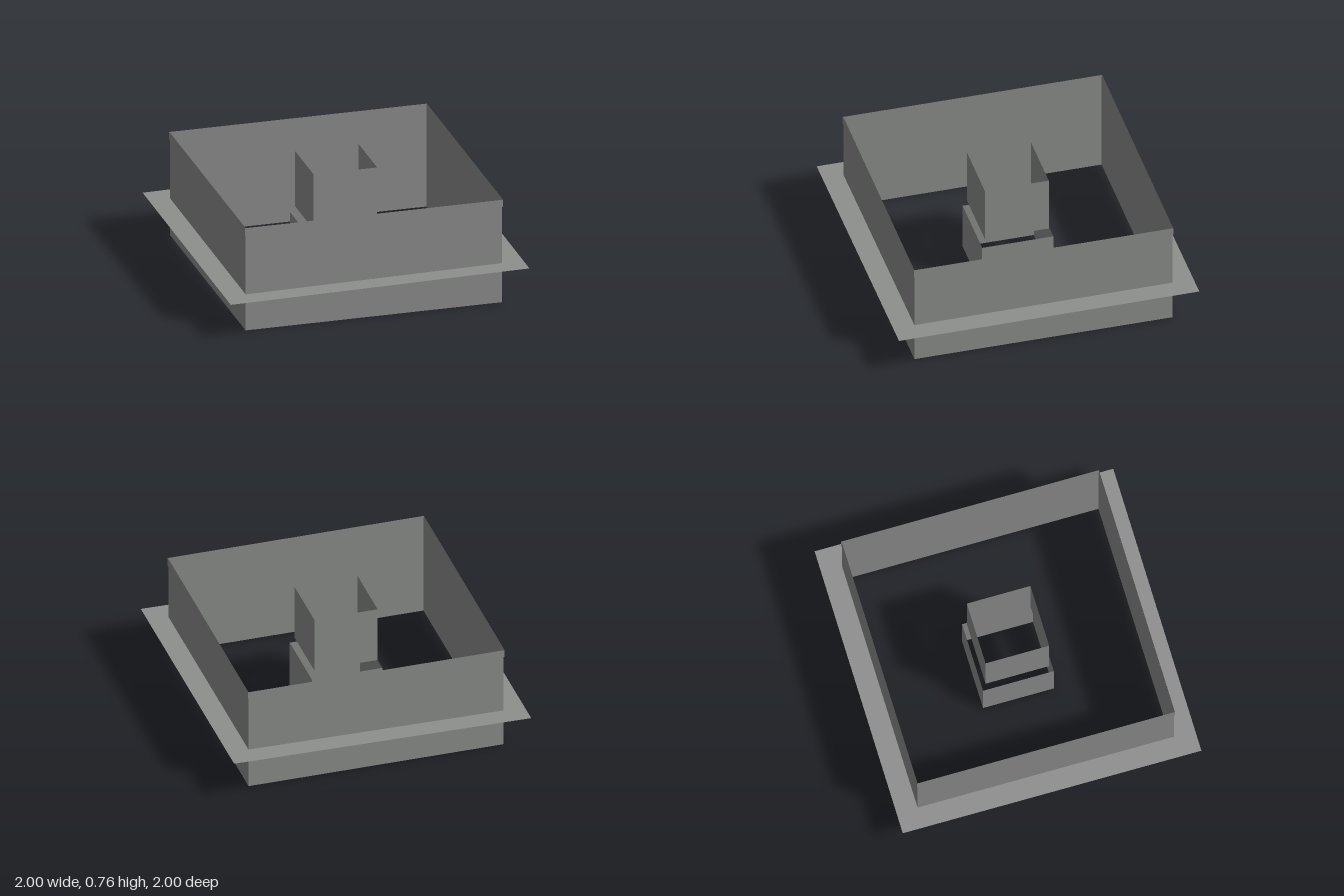
import * as THREE from 'three';

// Open square sleeve: four upright sheet walls, no top or bottom
function squareSleeve(half, y0, y1) {
  const corners = [[-half, half], [half, half], [half, -half], [-half, -half]];
  const pos = [];
  corners.forEach(([ax, az], i) => {
    const [bx, bz] = corners[(i + 1) % 4];
    pos.push(ax, y0, az, bx, y0, bz, bx, y1, bz);
    pos.push(ax, y0, az, bx, y1, bz, ax, y1, az);
  });
  const g = new THREE.BufferGeometry();
  g.setAttribute('position', new THREE.Float32BufferAttribute(pos, 3));
  g.computeVertexNormals();
  return g;
}

// Flat square ring lying level, facing up
function squareRing(outer, inner) {
  const square = (Type, h) => new Type([
    new THREE.Vector2(-h, -h), new THREE.Vector2(h, -h),
    new THREE.Vector2(h, h), new THREE.Vector2(-h, h),
  ]);
  const shape = square(THREE.Shape, outer);
  shape.holes.push(square(THREE.Path, inner));
  return new THREE.ShapeGeometry(shape).rotateX(-Math.PI / 2);
}

export function createModel() {
  const model = new THREE.Group();
  model.name = 'squareCurb';

  const metal = new THREE.MeshStandardMaterial({ color: 0x8e908e, side: THREE.DoubleSide });
  metal.name = 'grey sheet metal';

  const add = (name, geometry) => {
    const mesh = new THREE.Mesh(geometry, metal);
    mesh.name = name;
    model.add(mesh);
    return mesh;
  };

  // Outer box walls and the slightly proud band round their top
  add('outerWalls', squareSleeve(0.859, 0, 0.708));
  add('topBand', squareSleeve(0.864, 0.66, 0.71));

  // Surrounding flange, very slightly out of level
  const flange = squareRing(1, 0.859);
  const p = flange.attributes.position;
  for (let i = 0; i < p.count; i++) {
    p.setY(i, 0.2625 + 0.0125 * p.getX(i) - 0.003 * p.getZ(i));
  }
  flange.computeVertexNormals();
  add('flange', flange);

  // Two open sleeves stacked in the middle with a gap between them
  add('lowerSleeve', squareSleeve(0.237, 0, 0.325));
  add('upperSleeve', squareSleeve(0.213, 0.375, 0.757));

  return model;
}
